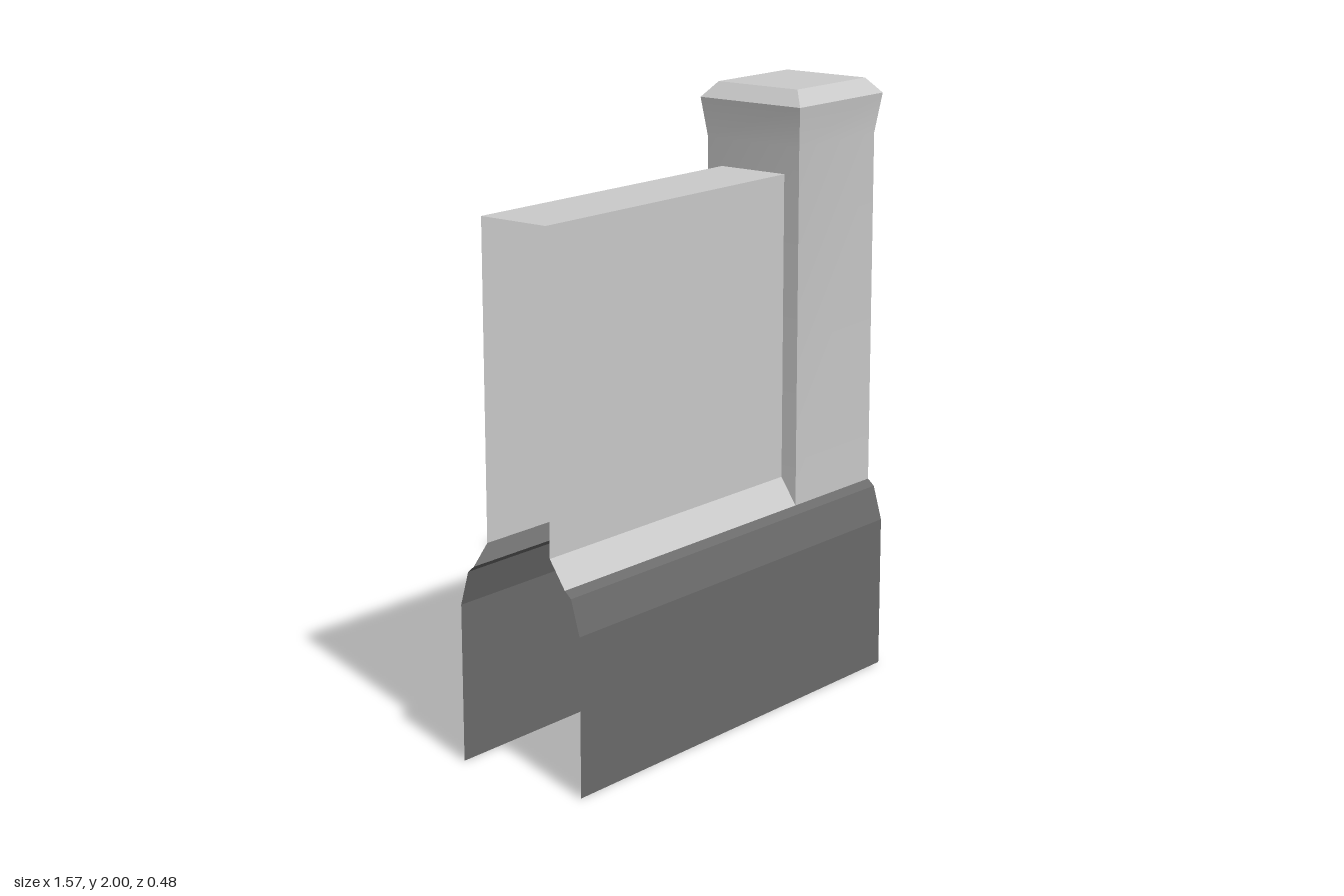
import * as THREE from 'three';
import { toCreasedNormals } from 'three/addons/utils/BufferGeometryUtils.js';

const X_LEFT = 0.762, X_RIGHT = -0.786, X_POST = 0.352;

// Geometry from a list of four-cornered faces, each counter-clockwise from outside
function fromQuads(quads) {
  const pos = [];
  for (const [a, b, c, d] of quads) pos.push(...a, ...b, ...c, ...a, ...c, ...d);
  const g = new THREE.BufferGeometry();
  g.setAttribute('position', new THREE.Float32BufferAttribute(pos, 3));
  g.computeVertexNormals();
  return g;
}

// Open shell: a [z, y] profile swept along x
function sweep(profile, x0, x1) {
  const quads = [];
  for (let i = 0; i < profile.length - 1; i++) {
    const [za, ya] = profile[i], [zb, yb] = profile[i + 1];
    quads.push([[x0, ya, za], [x1, ya, za], [x1, yb, zb], [x0, yb, zb]]);
  }
  return fromQuads(quads);
}

// Repeat a front half profile on the back
const mirror = (half) => [...half, ...half.slice().reverse().map(([z, y]) => [-z, y])];

// Rectangular rings [y, x0, x1, halfDepth] joined into a column with a closed top
function column(rings) {
  const corners = rings.map(([y, x0, x1, d]) => [[x0, y, d], [x1, y, d], [x1, y, -d], [x0, y, -d]]);
  const quads = [];
  for (let i = 0; i < corners.length - 1; i++) {
    for (let k = 0; k < 4; k++) {
      const n = (k + 1) % 4;
      quads.push([corners[i][k], corners[i][n], corners[i + 1][n], corners[i + 1][k]]);
    }
  }
  quads.push(corners[corners.length - 1]);
  return fromQuads(quads);
}

export function createModel() {
  const group = new THREE.Group();
  const light = new THREE.MeshStandardMaterial({ color: 0xcccccc, side: THREE.DoubleSide });
  const dark = new THREE.MeshStandardMaterial({ color: 0x6b6b6b, side: THREE.DoubleSide });
  const add = (name, geometry, material) => {
    const mesh = new THREE.Mesh(geometry, material);
    mesh.name = name;
    group.add(mesh);
  };

  // Plinth sides with sloped shoulders, open below and at the right end
  const baseHalf = [[0.24, 0], [0.24, 0.51], [0.208, 0.622], [0.184, 0.643]];
  add('plinthFront', sweep(baseHalf, X_RIGHT, X_LEFT), dark);
  add('plinthBack', sweep(mirror(baseHalf).slice(4), X_RIGHT, X_LEFT), dark);

  // Plinth end under the post
  const outline = new THREE.Shape(mirror(baseHalf).map(([z, y]) => new THREE.Vector2(z, y)));
  add('plinthEnd', new THREE.ShapeGeometry(outline).rotateY(Math.PI / 2).translate(X_LEFT, 0, 0), dark);

  // Wall panel with a splayed foot, open at the right end
  add('wall', sweep(mirror([[0.184, 0.643], [0.126, 0.73], [0.126, 1.73]]), X_RIGHT, X_POST), light);

  // End post with a flared head and chamfered cap
  const post = column([
    [0.643, X_POST, X_LEFT, 0.184],
    [1.82, X_POST, X_LEFT, 0.184],
    [1.95, 0.333, 0.784, 0.2],
    [2.0, 0.374, 0.742, 0.158],
  ]);
  add('post', toCreasedNormals(post, 0.4), light);

  return group;
}
